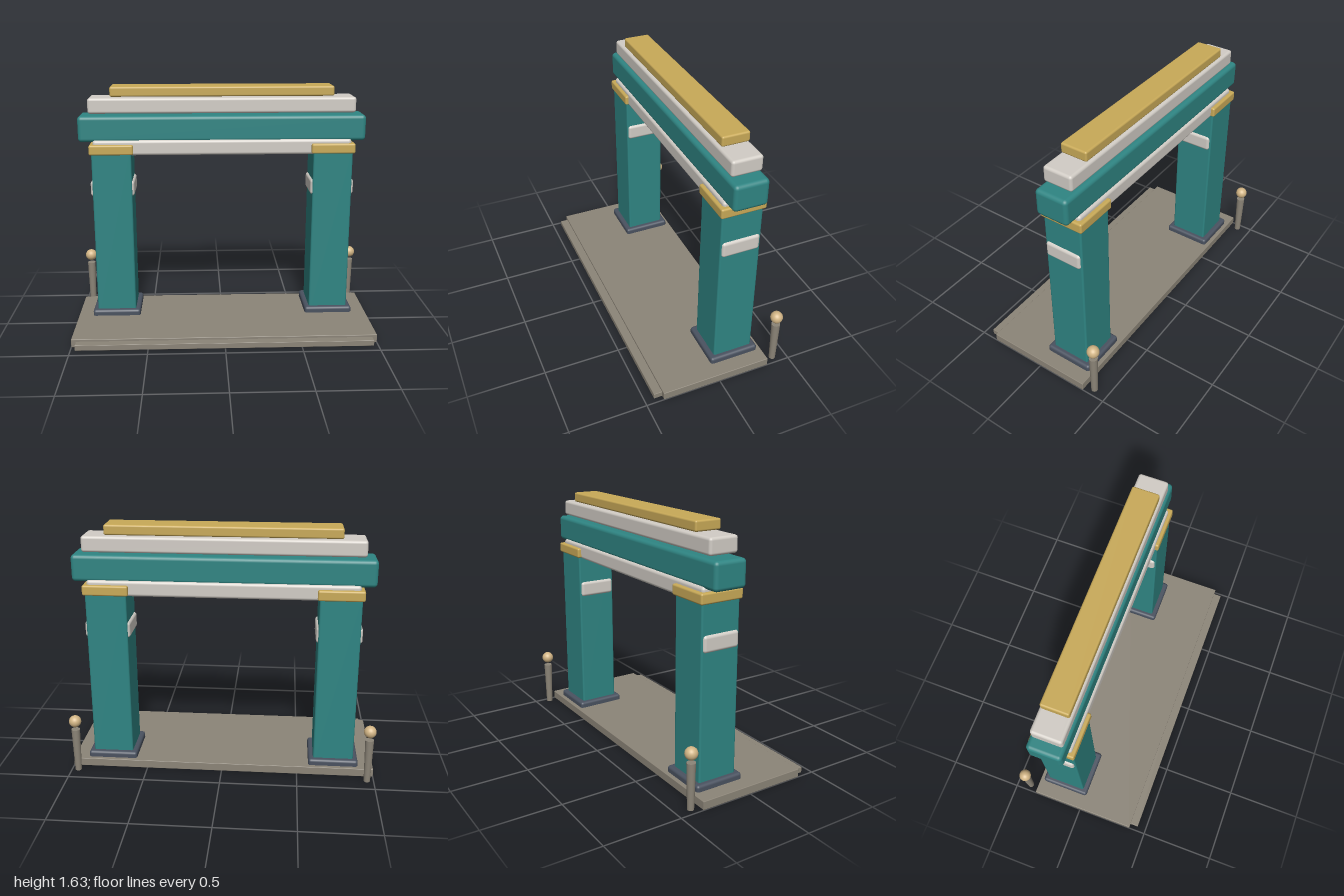
import * as THREE from 'three';
import { RoundedBoxGeometry } from 'three/addons/geometries/RoundedBoxGeometry.js';

const mat = (color) => new THREE.MeshStandardMaterial({ color });

export function createModel() {
  const model = new THREE.Group();
  model.name = 'gateway';
  const teal = mat(0x2f8583), gold = mat(0xc9aa58), pale = mat(0xd2cdc6);
  const stone = mat(0x8c8578), slate = mat(0x4a5260), tan = mat(0xd2b585);

  // Rounded block given by its extents: [min, max] along each axis
  function block(name, [x0, x1], [y0, y1], [z0, z1], radius, material, parent = model) {
    const geometry = new RoundedBoxGeometry(x1 - x0, y1 - y0, z1 - z0, 3, radius);
    const mesh = new THREE.Mesh(geometry, material);
    mesh.position.set((x0 + x1) / 2, (y0 + y1) / 2, (z0 + z1) / 2);
    mesh.name = name;
    parent.add(mesh);
  }

  // Ground slab with a lower front step
  block('slab', [-1, 1], [0, 0.055], [-0.345, 0.385], 0.004, stone);
  block('frontStep', [-0.97, 0.97], [0.002, 0.04], [0.3, 0.44], 0.003, stone);

  for (const side of [-1, 1]) {
    const label = side > 0 ? 'left' : 'right';

    // Pillar with its foot, side bands and capital
    const pillar = new THREE.Group();
    pillar.name = label + 'Pillar';
    pillar.position.x = side * 0.738;
    model.add(pillar);
    block('foot', [-0.163, 0.163], [0.035, 0.095], [-0.318, 0.012], 0.018, slate, pillar);
    block('shaft', [-0.132, 0.132], [0.05, 1.2], [-0.285, -0.02], 0.012, teal, pillar);
    block('band', [-0.146, 0.146], [0.9, 1.005], [-0.275, -0.028], 0.02, pale, pillar);
    block('capital', [-0.146, 0.146], [1.185, 1.252], [-0.3, -0.008], 0.012, gold, pillar);

    // Tapered post with a ball on top, behind the slab
    const bollard = new THREE.Group();
    bollard.name = label + 'Bollard';
    bollard.position.set(side * 0.955, 0, -0.405);
    model.add(bollard);
    const post = new THREE.Mesh(new THREE.CylinderGeometry(0.028, 0.021, 0.298, 20), stone);
    post.name = 'post';
    post.position.y = 0.154;
    const ball = new THREE.Mesh(new THREE.SphereGeometry(0.04, 24, 16), tan);
    ball.name = 'ball';
    ball.position.y = 0.36;
    bollard.add(post, ball);
  }

  // Stacked beams across the top
  block('lintel', [-0.86, 0.86], [1.178, 1.28], [-0.275, -0.03], 0.02, pale);
  block('mainBeam', [-0.955, 0.955], [1.265, 1.437], [-0.262, -0.043], 0.025, teal);
  block('upperBeam', [-0.885, 0.885], [1.452, 1.555], [-0.25, -0.054], 0.018, pale);
  block('ridgeBeam', [-0.738, 0.738], [1.562, 1.627], [-0.242, -0.065], 0.012, gold);

  return model;
}
